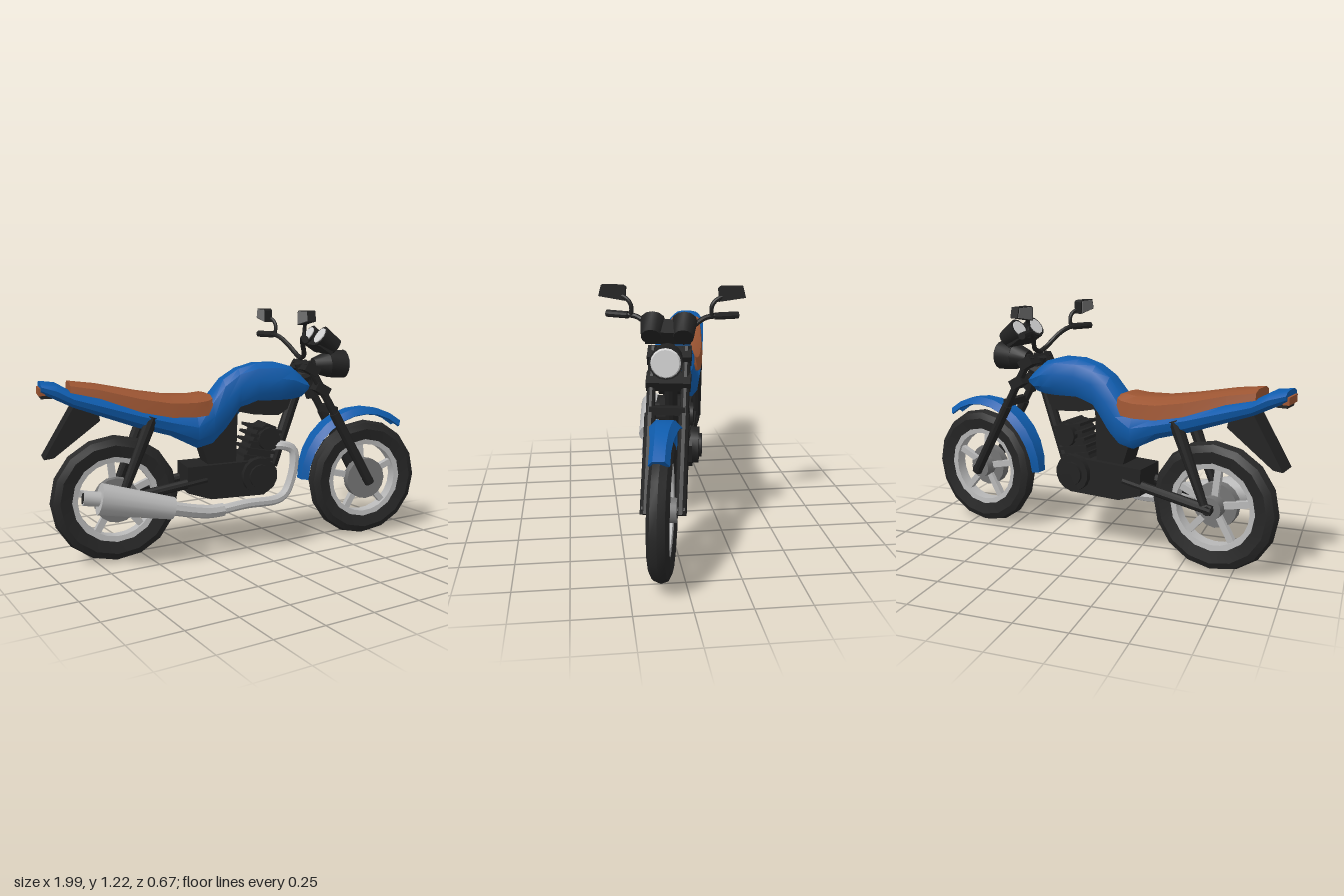
import * as THREE from 'three';
import { toCreasedNormals } from 'three/addons/utils/BufferGeometryUtils.js';

const V = (p) => new THREE.Vector3(...p);
const paint = (name, color) => Object.assign(new THREE.MeshStandardMaterial({ color }), { name });

// Cylinder between two points
function rod(a, b, r, r2 = r, sides = 10) {
  const A = V(a), B = V(b), d = B.clone().sub(A);
  const g = new THREE.CylinderGeometry(r2, r, d.length(), sides);
  g.applyQuaternion(new THREE.Quaternion().setFromUnitVectors(V([0, 1, 0]), d.normalize()));
  return g.translate(...A.add(B).multiplyScalar(0.5).toArray());
}

// Flat outline in x,y with a width centred on z
function plate(pts, width, z = 0) {
  const shape = new THREE.Shape(pts.map((p) => new THREE.Vector2(...p)));
  return new THREE.ExtrudeGeometry(shape, { depth: width, bevelEnabled: false }).translate(0, 0, z - width / 2);
}

// Skin over closed rings that advance along +x, with end caps
function loft(rings) {
  const n = rings[0].length, last = (rings.length - 1) * n, idx = [];
  for (let i = 0; i < rings.length - 1; i++) {
    for (let j = 0; j < n; j++) {
      const a = i * n + j, b = i * n + ((j + 1) % n);
      idx.push(a, b, a + n, b, b + n, a + n);
    }
  }
  for (let j = 1; j < n - 1; j++) idx.push(0, j + 1, j, last, last + j, last + j + 1);
  const g = new THREE.BufferGeometry();
  g.setAttribute('position', new THREE.Float32BufferAttribute(rings.flat(2), 3));
  g.setIndex(idx);
  return g;
}

// Mirrored cross-section from half outline [y, z]
const ring = (x, half) => [...half.map(([y, z]) => [x, y, z]), ...[...half].reverse().map(([y, z]) => [x, y, -z])];

const tube = (pts, r, seg = 24) =>
  new THREE.TubeGeometry(new THREE.CatmullRomCurve3(pts.map(V), false, 'centripetal'), seg, r, 8);

const lathe = (pts, seg) =>
  new THREE.LatheGeometry(pts.map((p) => new THREE.Vector2(...p)), seg).rotateX(Math.PI / 2);

export function createModel() {
  const blue = paint('bluePaint', 0x0f5cad), black = paint('blackMetal', 0x222222);
  const rubber = paint('rubber', 0x262626), brown = paint('brownLeather', 0x9c5532);
  const silver = paint('silver', 0xb8b8b8), grey = paint('greyMetal', 0x747474);
  const glass = paint('lampGlass', 0xd4d4d4);

  const model = new THREE.Group();
  model.name = 'motorcycle';
  const bike = new THREE.Group();
  bike.name = 'bike';
  bike.rotation.y = -0.197;
  bike.position.z = -0.045;
  model.add(bike);
  const add = (name, geo, mat, parent = bike) => {
    const m = new THREE.Mesh(toCreasedNormals(geo, 0.6), mat);
    m.name = name;
    parent.add(m);
    return m;
  };

  // Wheels
  function wheel(name, x) {
    const w = new THREE.Group();
    w.name = name;
    w.position.set(x, 0.315, 0);
    bike.add(w);
    add('tire', lathe([[0.213, -0.036], [0.27, -0.048], [0.302, -0.032], [0.314, 0],
      [0.302, 0.032], [0.27, 0.048], [0.213, 0.036], [0.213, -0.036]], 16), rubber, w);
    add('rim', lathe([[0.185, -0.03], [0.216, -0.034], [0.216, 0.034], [0.185, 0.03], [0.185, -0.03]], 24), silver, w);
    for (let i = 0; i < 5; i++) {
      const g = new THREE.BoxGeometry(0.032, 0.16, 0.03).translate(0, 0.12, 0);
      add('spoke', g.rotateZ(0.1 + (i * Math.PI * 2) / 5), silver, w);
    }
    add('hub', rod([0, 0, -0.06], [0, 0, 0.05], 0.055, 0.055, 16), grey, w);
    add('brakeDrum', rod([0, 0, 0.005], [0, 0, 0.05], 0.11, 0.11, 16), grey, w);
    add('axle', rod([0, 0, -0.095], [0, 0, 0.095], 0.022), black, w);
  }
  wheel('frontWheel', 0.69);
  wheel('rearWheel', -0.663);

  // Front fender swept around the wheel
  const fender = [];
  for (let i = 0; i <= 10; i++) {
    const t = i / 10, a = THREE.MathUtils.degToRad(177 - 123 * t);
    const R = 0.372 + 0.018 * Math.sin(Math.PI * t), w = 0.045 + 0.03 * Math.sin(Math.PI * Math.min(1, t * 1.15 + 0.02));
    const half = [[R, w * 0.55], [R - 0.032, w], [R - 0.037, w - 0.008], [R - 0.014, w * 0.5]];
    fender.push(ring(0, half).map(([, r, z]) => [0.69 + r * Math.cos(a), 0.315 + r * Math.sin(a), z]));
  }
  add('frontFender', loft(fender), blue);

  // Tank, side panels and tail: x, top, bottom, half width
  const body = [[-1.0, 0.9, 0.85, 0.075], [-0.93, 0.89, 0.815, 0.1], [-0.86, 0.85, 0.78, 0.108], [-0.7, 0.81, 0.72, 0.112],
    [-0.55, 0.77, 0.665, 0.114], [-0.4, 0.735, 0.62, 0.115], [-0.265, 0.73, 0.55, 0.11],
    [-0.18, 0.8, 0.56, 0.1], [-0.115, 0.88, 0.61, 0.09], [-0.035, 0.93, 0.715, 0.085],
    [0.06, 0.955, 0.755, 0.092], [0.175, 0.955, 0.765, 0.105], [0.245, 0.935, 0.77, 0.108], [0.3, 0.89, 0.78, 0.1], [0.33, 0.855, 0.81, 0.09]];
  add('tankAndTail', loft(body.map(([x, t, b, w]) => {
    const h = t - b;
    return ring(x, [[t, w * 0.4], [t - h * 0.12, w * 0.78], [t - h * 0.4, w], [b + h * 0.25, w * 0.92], [b, w * 0.6]]);
  })), blue);

  // Seat
  const seat = [[-0.87, 0.895, 0.85, 0.085], [-0.74, 0.877, 0.82, 0.1], [-0.54, 0.835, 0.745, 0.116],
    [-0.4, 0.812, 0.715, 0.12], [-0.28, 0.808, 0.71, 0.117], [-0.215, 0.815, 0.715, 0.108], [-0.19, 0.81, 0.76, 0.098]];
  add('seat', loft(seat.map(([x, t, b, w]) =>
    ring(x, [[t, w * 0.55], [t - (t - b) * 0.3, w * 0.93], [b, w]]))), brown);
  add('tailLight', new THREE.BoxGeometry(0.03, 0.035, 0.11).translate(-0.995, 0.855, 0), brown);
  add('tailBracket', new THREE.BoxGeometry(0.05, 0.02, 0.09).translate(-0.975, 0.832, 0), black);
  add('mudFlap', plate([[-0.85, 0.79], [-0.74, 0.74], [-0.735, 0.71], [-0.955, 0.545], [-1.0, 0.54]], 0.12), black);

  // Frame and engine
  add('frameCenter', plate([[-0.25, 0.6], [-0.08, 0.74], [-0.05, 0.72], [-0.06, 0.44], [-0.2, 0.44]], 0.13), black);
  add('engineCase', plate([[-0.32, 0.46], [0.1, 0.47], [0.15, 0.42], [0.13, 0.33], [0.08, 0.29], [-0.2, 0.29], [-0.32, 0.33]], 0.19), black);
  add('tankUnderside', plate([[-0.06, 0.8], [-0.05, 0.72], [0.04, 0.7], [0.17, 0.69], [0.22, 0.72], [0.25, 0.8]], 0.13), black);
  add('cylinderBlock', plate([[-0.03, 0.45], [0.12, 0.45], [0.16, 0.63], [0.11, 0.65], [0.06, 0.62]], 0.13), black);
  for (let i = 0; i < 5; i++) {
    const fin = new THREE.BoxGeometry(0.16, 0.014, 0.17).rotateZ(-0.2);
    add('coolingFin', fin.translate(0.055 + i * 0.012, 0.48 + i * 0.035, 0), black);
  }
  add('headCover', rod([0.11, 0.575, -0.1], [0.11, 0.575, 0.1], 0.058, 0.058, 12), black);
  add('backbone', rod([0.26, 0.85, 0], [0.36, 0.88, 0], 0.04), black);
  add('downTube', rod([0.3, 0.82, 0], [0.16, 0.42, 0], 0.03), black);
  for (const s of [1, -1]) {
    add('clutchCover', rod([0.05, 0.395, s * 0.08], [0.05, 0.395, s * 0.125], 0.092, 0.092, 14), black);
    add('clutchCap', rod([0.05, 0.395, s * 0.12], [0.05, 0.395, s * 0.14], 0.06, 0.06, 14), black);
    add('swingArm', rod([-0.68, 0.315, s * 0.075], [-0.22, 0.39, s * 0.075], 0.024), black);
    add('shock', rod([-0.645, 0.34, s * 0.085], [-0.49, 0.72, s * 0.085], 0.02, 0.032), black);
  }

  // Exhaust on the left side
  add('exhaustPipe', tube([[0.12, 0.53, 0.05], [0.17, 0.54, 0.09], [0.235, 0.515, 0.1], [0.24, 0.43, 0.105], [0.19, 0.3, 0.12],
    [0.14, 0.27, 0.13], [-0.04, 0.265, 0.15], [-0.2, 0.245, 0.16]], 0.024, 36), silver);
  add('exhaustLink', tube([[-0.16, 0.25, 0.157], [-0.23, 0.248, 0.163], [-0.31, 0.26, 0.17], [-0.44, 0.29, 0.18]], 0.034, 12), silver);
  add('muffler', rod([-0.42, 0.287, 0.18], [-0.77, 0.365, 0.183], 0.054, 0.075, 14), silver);
  add('mufflerTip', rod([-0.76, 0.363, 0.183], [-0.845, 0.375, 0.183], 0.036, 0.036, 12), silver);
  add('mufflerBore', rod([-0.845, 0.375, 0.183], [-0.848, 0.3755, 0.183], 0.026, 0.026, 12), black);

  // Fork, bars and mirrors
  for (const s of [1, -1]) {
    const z = s * 0.076;
    add('forkLower', rod([0.7, 0.295, z], [0.48, 0.685, z], 0.026), black);
    add('forkUpper', rod([0.5, 0.65, z], [0.325, 0.955, z], 0.02), black);
    add('handlebar', tube([[0.32, 0.97, 0], [0.315, 0.99, s * 0.05], [0.28, 1.05, s * 0.11], [0.255, 1.08, s * 0.16], [0.235, 1.086, s * 0.22]], 0.012), black);
    add('grip', rod([0.245, 1.085, s * 0.2], [0.205, 1.085, s * 0.305], 0.017), black);
    add('mirrorStalk', tube([[0.25, 1.08, s * 0.185], [0.255, 1.13, s * 0.185], [0.25, 1.155, s * 0.2], [0.235, 1.175, s * 0.235]], 0.01, 12), black);
    const outline = [[0.212, 1.21], [0.225, 1.22], [0.325, 1.22], [0.338, 1.17], [0.215, 1.15]];
    const panel = (k, w) => plate(outline.map(([u, v]) => [s * (0.272 + (u - 0.272) * k), 1.188 + (v - 1.188) * k]), w).rotateY(-Math.PI / 2);
    add('mirrorShell', panel(1, 0.04).translate(0.225, 0, 0), black);
    add('mirrorGlass', panel(0.88, 0.004).translate(0.204, 0, 0), grey);
  }
  for (const [x, y] of [[0.345, 0.92], [0.405, 0.815]]) {
    add('forkClamp', new THREE.BoxGeometry(0.08, 0.05, 0.2).rotateZ(-0.52).translate(x, y, 0), black);
  }
  add('steeringHead', rod([0.39, 0.77, 0], [0.32, 0.95, 0], 0.035), black);
  add('forkBrace', new THREE.BoxGeometry(0.04, 0.035, 0.16).translate(0.48, 0.7, 0), black);

  // Headlight and gauges
  add('headlightBack', rod([0.39, 0.93, 0], [0.47, 0.935, 0], 0.04, 0.068, 16), black);
  add('headlight', rod([0.47, 0.935, 0], [0.565, 0.935, 0], 0.068, 0.074, 16), black);
  add('headlightGlass', rod([0.562, 0.935, 0], [0.575, 0.935, 0], 0.068, 0.06, 16), glass);
  add('gaugePanel', new THREE.BoxGeometry(0.085, 0.07, 0.2).rotateZ(-0.58).translate(0.43, 1.045, 0), black);
  for (const s of [1, -1]) {
    const z = s * 0.07;
    add('gauge', rod([0.48, 1.03, z], [0.395, 1.088, z], 0.045, 0.056, 12), black);
    add('gaugeGlass', rod([0.395, 1.088, z], [0.391, 1.0907, z], 0.043, 0.043, 12), glass);
  }
  return model;
}
